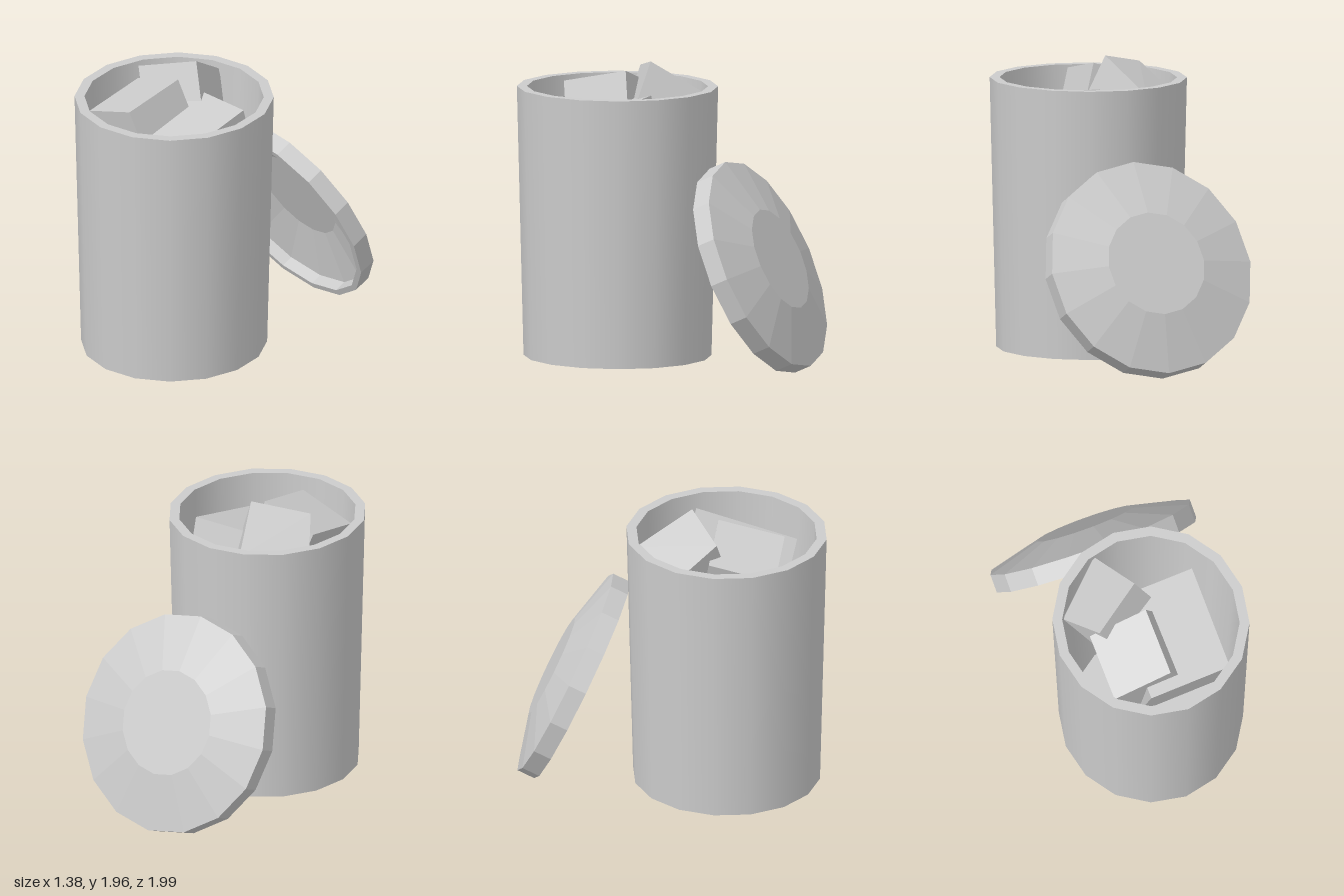
import * as THREE from 'three';
import { mergeGeometries } from 'three/addons/utils/BufferGeometryUtils.js';
import { ConvexGeometry } from 'three/addons/geometries/ConvexGeometry.js';

const SIDES = 16;
const SQUASH = 0.972; // round parts are slightly narrower across x
const smooth = new THREE.MeshStandardMaterial({ color: 0xcccccc });
const flat = new THREE.MeshStandardMaterial({ color: 0xcccccc, flatShading: true });

// Turned shape: smooth around, with a sharp edge at every profile point
function turned(profile) {
  const pts = profile.map(([r, y]) => new THREE.Vector2(r, y));
  const bands = pts.slice(1).map((p, i) => new THREE.LatheGeometry([pts[i], p], SIDES));
  return mergeGeometries(bands).scale(SQUASH, 1, 1);
}

// Block from its four top corners, extended along a slanted direction
function block(top, down) {
  const d = new THREE.Vector3(...down);
  const corners = top.map((c) => new THREE.Vector3(...c));
  return new ConvexGeometry([...corners, ...corners.map((c) => c.clone().add(d))]);
}

export function createModel() {
  const group = new THREE.Group();
  const add = (name, geometry, material) => {
    const mesh = new THREE.Mesh(geometry, material);
    mesh.name = name;
    group.add(mesh);
    return mesh;
  };

  // Tapered bin: base, outer wall, rim, inner wall, floor
  const bin = add('bin', turned([
    [0, 0.05], [0.607, 0.05], [0.65, 1.8], [0.585, 1.8], [0.525, 0.12], [0, 0.12],
  ]), smooth);
  bin.position.z = 0.35;

  // Hollow domed lid leaning against the back of the bin
  const lid = add('lid', turned([
    [0, 0.17], [0.33, 0.17], [0.67, 0.08], [0.67, 0], [0.711, 0],
    [0.711, 0.12], [0.342, 0.215], [0, 0.215],
  ]), flat);
  lid.position.set(0, 0.655, -0.588);
  lid.rotation.x = -1.14;

  // Tumbled blocks filling the bin
  add('tallBlock', block([
    [-0.17, 1.75, -0.21], [-0.505, 1.69, 0.09], [-0.35, 1.89, 0.335], [-0.026, 1.97, 0.13],
  ], [0.3, -0.72, 0.15]), flat);
  add('frontBlock', block([
    [-0.016, 1.81, 0.73], [-0.016, 1.9, 0.3], [-0.4, 1.77, 0.29], [-0.4, 1.68, 0.72],
  ], [0.21, -0.65, -0.13]), flat);
  add('wideBlock', block([
    [0.385, 1.756, 0.1], [-0.165, 1.756, 0.11], [-0.165, 1.58, 0.768], [0.385, 1.58, 0.755],
  ], [0, -0.82, -0.22]), flat);

  return group;
}
